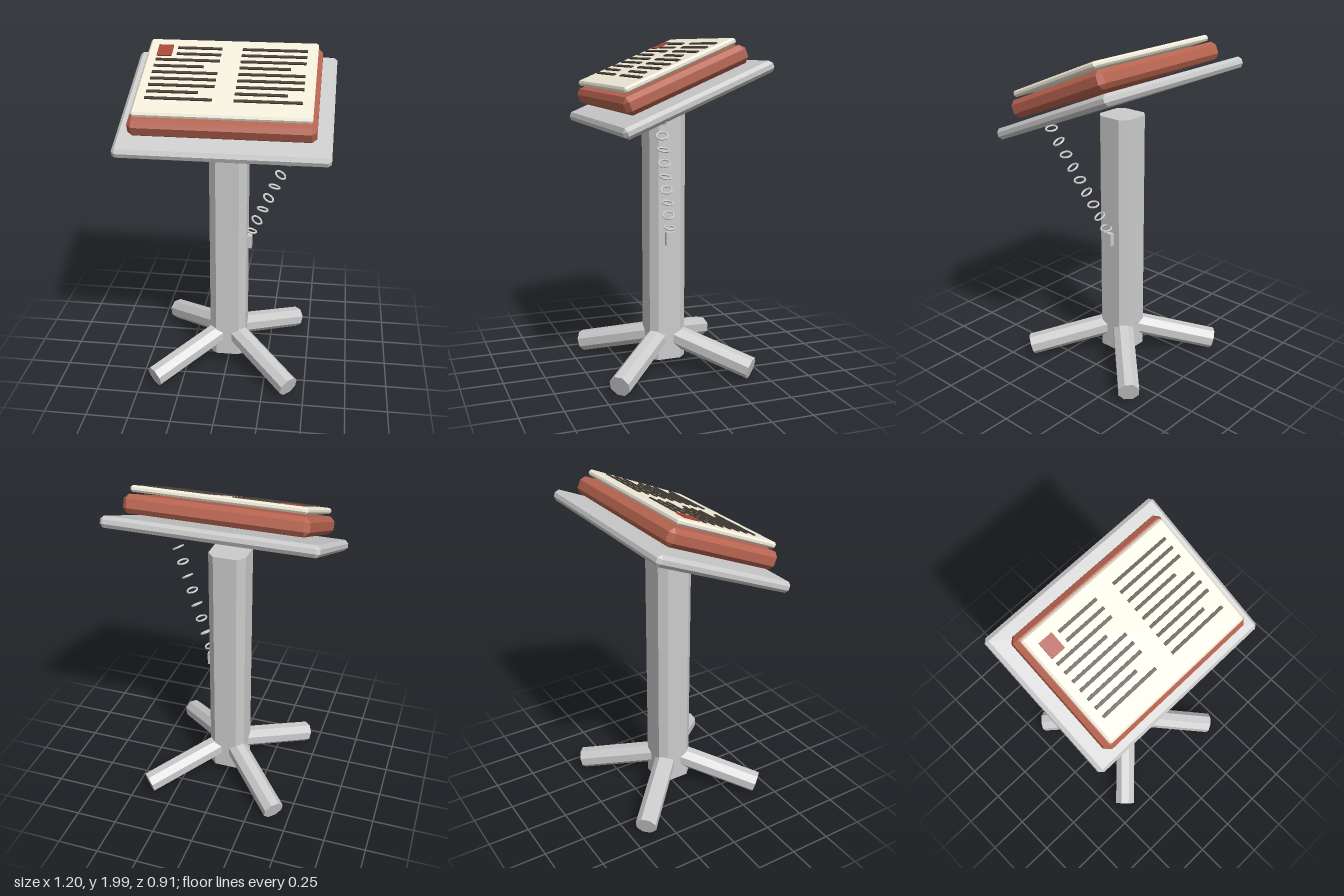
import * as THREE from 'three';
import { ConvexGeometry } from 'three/addons/geometries/ConvexGeometry.js';

const mat = (color) => new THREE.MeshStandardMaterial({ color, flatShading: true });
const GREY = mat(0xcccccc), RED = mat(0xb86450), PAPER = mat(0xf2ecda);
const INK = mat(0x4a4038), INITIAL = mat(0xa84838);

function add(parent, name, geometry, material, x = 0, y = 0, z = 0) {
  const mesh = new THREE.Mesh(geometry, material);
  mesh.name = name;
  mesh.position.set(x, y, z);
  parent.add(mesh);
  return mesh;
}

// Box with every edge cut by a flat chamfer c
function chamferBox(w, h, d, c) {
  const a = w / 2, b = h / 2, e = d / 2, points = [];
  for (const sx of [-1, 1]) for (const sy of [-1, 1]) for (const sz of [-1, 1]) {
    points.push(
      new THREE.Vector3(sx * a, sy * (b - c), sz * (e - c)),
      new THREE.Vector3(sx * (a - c), sy * b, sz * (e - c)),
      new THREE.Vector3(sx * (a - c), sy * (b - c), sz * e));
  }
  return new ConvexGeometry(points);
}

// Square post with chamfered upright edges, standing on y = 0
function postGeometry(half, cut, height) {
  const k = half - cut;
  const outline = [[half, -k], [half, k], [k, half], [-k, half], [-half, k], [-half, -k], [-k, -half], [k, -half]];
  const shape = new THREE.Shape(outline.map(([x, y]) => new THREE.Vector2(x, y)));
  return new THREE.ExtrudeGeometry(shape, { depth: height, bevelEnabled: false }).rotateX(-Math.PI / 2);
}

export function createModel() {
  const model = new THREE.Group();
  model.name = 'bookLectern';

  add(model, 'column', postGeometry(0.112, 0.042, 1.51), GREY, 0, 0.07, 0);

  // Four diagonal feet sloping down from the column
  const legLength = 0.56, slope = 0.265;
  for (let i = 0; i < 4; i++) {
    const leg = new THREE.Group();
    leg.name = 'leg';
    leg.position.y = 0.222;
    leg.rotation.y = Math.PI / 4 + i * Math.PI / 2;
    const geometry = new THREE.CylinderGeometry(0.066, 0.066, legLength, 8)
      .rotateY(Math.PI / 8).rotateX(Math.PI / 2).translate(0, 0, 0.04 + legLength / 2).rotateX(slope);
    add(leg, 'foot', geometry, GREY);
    model.add(leg);
  }

  // Tilted desk carrying the open book
  const desk = new THREE.Group();
  desk.name = 'desk';
  desk.position.y = 1.68;
  desk.rotation.x = 0.395;
  model.add(desk);
  add(desk, 'board', chamferBox(1.2, 0.065, 0.92, 0.02), GREY);
  add(desk, 'cover', chamferBox(1.03, 0.104, 0.755, 0.027), RED, 0, 0.108, 0);
  add(desk, 'pages', chamferBox(0.98, 0.036, 0.685, 0.011), PAPER, 0, 0.19, 0);

  // Text lines in two columns, with a square initial at the upper left
  const inkY = 0.211;
  const line = (x0, x1, z) =>
    add(desk, 'textLine', new THREE.BoxGeometry(x1 - x0, 0.008, 0.018), INK, (x0 + x1) / 2, inkY, z);
  for (let row = 0; row < 9; row++) {
    const z = -0.249 + row * 0.0577;
    const trim = row % 4 === 3 ? 0.085 : 0;
    line(row < 2 ? -0.317 : -0.431, -0.06 - trim, z);
    line(0.058, 0.43 - trim, z);
  }
  add(desk, 'initial', new THREE.BoxGeometry(0.086, 0.008, 0.102), INITIAL, -0.389, inkY, -0.221);

  // Chain from the column anchor up to the desk, links alternating in tilt
  add(model, 'chainAnchor', new THREE.BoxGeometry(0.04, 0.08, 0.06), GREY, 0.12, 0.83, 0);
  const up = new THREE.Vector3(0, 0, 1);
  for (let i = 0; i < 9; i++) {
    const link = add(model, 'chainLink', new THREE.TorusGeometry(0.032, 0.006, 6, 12), GREY,
      0.135 + i * 0.035, 0.9 + i * 0.082, 0.01 + i * 0.019);
    const normal = i % 2 ? new THREE.Vector3(0.5, 0.85, 0.22) : new THREE.Vector3(0.24, 0.96, -0.08);
    link.quaternion.setFromUnitVectors(up, normal.normalize());
  }
  return model;
}
